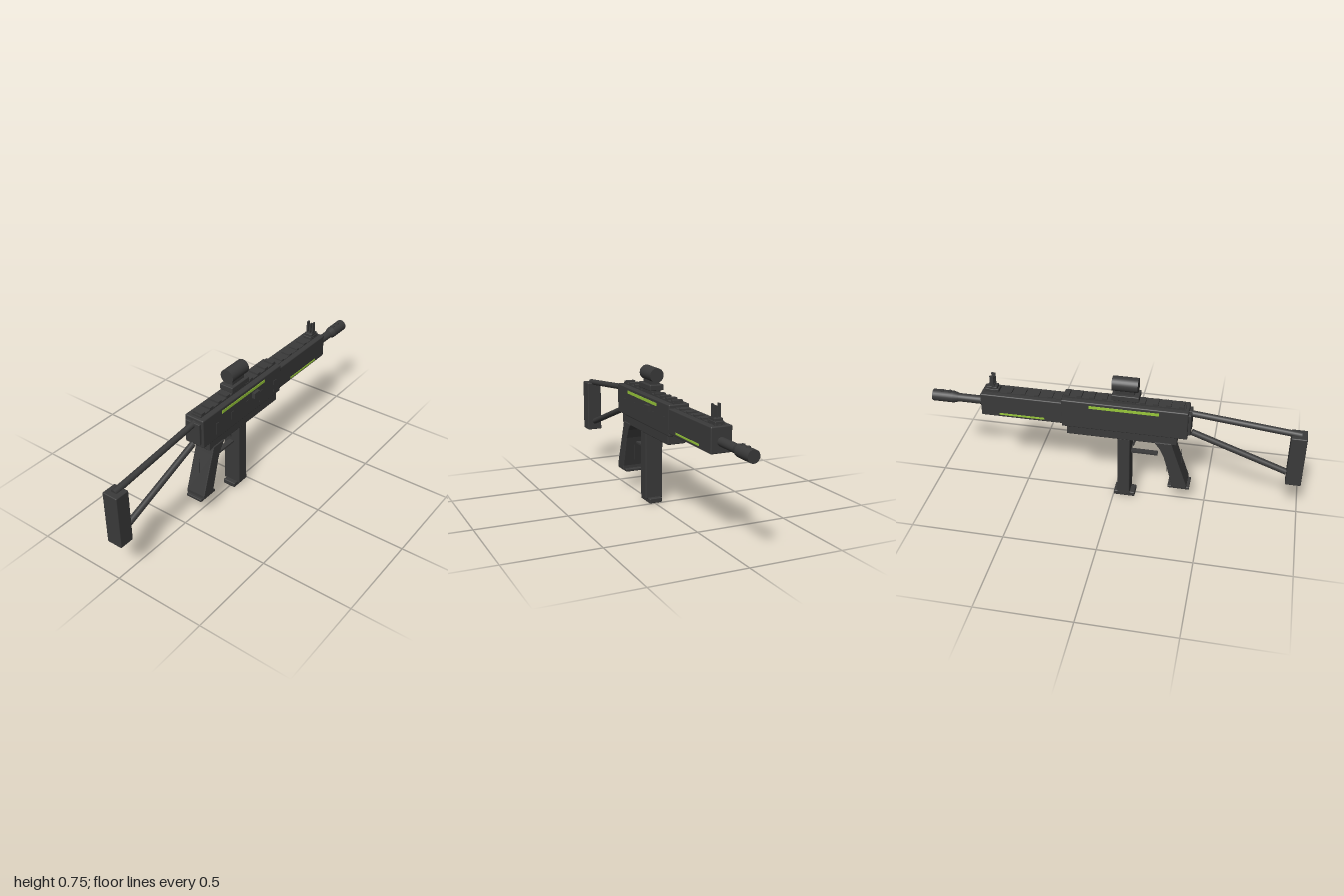
import * as THREE from 'three';
import { RoundedBoxGeometry } from 'three/addons/geometries/RoundedBoxGeometry.js';

export function createModel() {
  const root = new THREE.Group();
  root.name = 'prop';
  root.position.x = -0.006;
  const charcoal = new THREE.MeshStandardMaterial({ color: 0x3a3a3a });
  charcoal.name = 'charcoal';
  const lime = new THREE.MeshStandardMaterial({ color: 0x98c83a });
  lime.name = 'lime';

  function add(name, geometry, material = charcoal) {
    const mesh = new THREE.Mesh(geometry, material);
    mesh.name = name;
    root.add(mesh);
    return mesh;
  }
  // Box given by its ranges on each axis; bevel 0 keeps sharp edges
  function box(name, [x0, x1], [y0, y1], [z0, z1], bevel = 0, material = charcoal) {
    const s = [x1 - x0, y1 - y0, z1 - z0];
    const g = bevel ? new RoundedBoxGeometry(...s, 2, bevel) : new THREE.BoxGeometry(...s);
    const mesh = add(name, g, material);
    mesh.position.set((x0 + x1) / 2, (y0 + y1) / 2, (z0 + z1) / 2);
    return mesh;
  }
  const wide = (w) => [-w / 2, w / 2];
  // Round bar between two points in the middle plane
  function bar(name, [y0, z0], [y1, z1], radius, sides = 16) {
    const a = new THREE.Vector3(0, y0, z0), b = new THREE.Vector3(0, y1, z1);
    const d = b.clone().sub(a);
    const mesh = add(name, new THREE.CylinderGeometry(radius, radius, d.length(), sides));
    mesh.position.copy(a).add(b).multiplyScalar(0.5);
    mesh.quaternion.setFromUnitVectors(new THREE.Vector3(0, 1, 0), d.normalize());
    return mesh;
  }

  // Main body
  box('upperReceiver', wide(0.115), [0.44, 0.603], [-0.275, 0.393], 0.006);
  box('lowerReceiver', wide(0.102), [0.39, 0.45], [-0.25, 0.34], 0.005);
  box('rearPlate', wide(0.09), [0.46, 0.585], [0.385, 0.408], 0.004);
  box('handguard', wide(0.113), [0.455, 0.585], [-0.715, -0.265], 0.006);

  // Top rails with cross slats
  box('receiverRail', wide(0.056), [0.6, 0.611], [-0.265, 0.375]);
  for (let i = 0; i < 10; i++) {
    const z = -0.25 + i * 0.067;
    box('receiverSlat', wide(0.056), [0.608, 0.621], [z - 0.013, z + 0.013]);
  }
  box('handguardRail', wide(0.054), [0.582, 0.588], [-0.7, -0.28]);
  for (let i = 0; i < 5; i++) {
    const z = -0.34 - i * 0.074;
    box('handguardSlat', wide(0.054), [0.585, 0.595], [z - 0.012, z + 0.012]);
  }

  // Barrel and stepped muzzle turned around the long axis
  const profile = [[0, -0.7], [0.023, -0.7], [0.023, -0.855], [0.032, -0.885], [0.032, -1], [0, -1]];
  // Doubled corner points keep the steps crisp
  const points = profile.flatMap(([r, z], i) =>
    i === 0 || i === profile.length - 1
      ? [new THREE.Vector2(r, -z)]
      : [new THREE.Vector2(r, -z), new THREE.Vector2(r, -z + 0.0002)]);
  points[points.length - 1].y += 0.0002;
  points.forEach((p) => { p.y = Math.min(p.y, 1); });
  const barrel = add('barrel', new THREE.LatheGeometry(points, 24));
  barrel.rotation.x = -Math.PI / 2;
  barrel.position.y = 0.511;
  for (const z of [-0.905, -0.95]) {
    const port = add('muzzlePort', new THREE.CylinderGeometry(0.011, 0.011, 0.006, 12));
    port.position.set(0, 0.543, z);
  }

  // Front sight with three posts
  box('frontSightBase', wide(0.05), [0.582, 0.603], [-0.695, -0.62], 0.003);
  box('frontSightBlock', wide(0.044), [0.6, 0.616], [-0.685, -0.63], 0.003);
  for (const x of [-0.017, 0, 0.017]) {
    box('frontSightPost', [x - 0.004, x + 0.004], [0.61, x ? 0.68 : 0.67], [-0.666, -0.645]);
  }

  // Optic on its mount
  box('opticFoot', wide(0.056), [0.61, 0.63], [0.01, 0.115]);
  box('opticBase', wide(0.081), [0.625, 0.656], [-0.01, 0.134], 0.004);
  box('opticNeck', wide(0.047), [0.65, 0.685], [0.01, 0.108]);
  bar('opticTube', [0.706, -0.01], [0.706, 0.126], 0.039, 32);

  // Skeleton stock
  bar('upperStockTube', [0.574, 0.38], [0.511, 0.97], 0.017);
  bar('lowerStockTube', [0.455, 0.41], [0.269, 0.915], 0.017);
  box('buttPlate', wide(0.087), [0.215, 0.513], [0.918, 1], 0.005);

  // Raked grip
  const outline = [[0.225, 0.4], [0.227, 0.39], [0.25, 0.36], [0.274, 0.31], [0.322, 0.135],
    [0.322, 0.115], [0.402, 0.115], [0.402, 0.135], [0.325, 0.36], [0.313, 0.4]];
  const shape = new THREE.Shape(outline.map(([z, y]) => new THREE.Vector2(-z, y)));
  const bevel = 0.004;
  const gripGeometry = new THREE.ExtrudeGeometry(shape, {
    depth: 0.113 - 2 * bevel, bevelThickness: bevel, bevelSize: bevel, bevelOffset: -bevel, bevelSegments: 2,
  });
  gripGeometry.translate(0, 0, -0.113 / 2 + bevel);
  gripGeometry.rotateY(Math.PI / 2);
  add('grip', gripGeometry);
  box('gripCap', wide(0.097), [0.103, 0.119], [0.3, 0.418], 0.004);
  box('gripRearPin', wide(0.003), [0.175, 0.335], [0.362, 0.365]);
  box('gripFrontPin', wide(0.003), [0.175, 0.335], [0.287, 0.29]);

  // Trigger and guard
  box('triggerGuard', wide(0.03), [0.285, 0.295], [0.085, 0.235]);
  bar('trigger', [0.395, 0.122], [0.325, 0.1], 0.006, 8);

  // Magazine
  box('magazine', wide(0.1), [0.02, 0.395], [0.025, 0.091], 0.005);
  box('magazineCap', wide(0.074), [0, 0.028], [0.002, 0.118], 0.005);

  // Charging handle and shallow ribs on the left side
  box('chargingHandle', [0.05, 0.076], [0.528, 0.56], [-0.06, -0.013]);
  for (let i = 0; i < 5; i++) {
    const z = 0.28 - i * 0.125;
    box('sideRib', [0.057, 0.06], [0.465, 0.535], [z - 0.012, z + 0.012]);
  }

  // Bright accent strips on both sides
  for (const s of [-1, 1]) {
    const strip = (name, x, y, z) =>
      box(name, [s * x - 0.0015, s * x + 0.0015], y, z, 0, lime);
    strip('receiverStripe', 0.0585, [0.57, 0.586], [-0.126, 0.243]);
    strip('handguardStripe', 0.0645, [0.473, 0.483], [-0.612, -0.366]);
  }
  return root;
}
